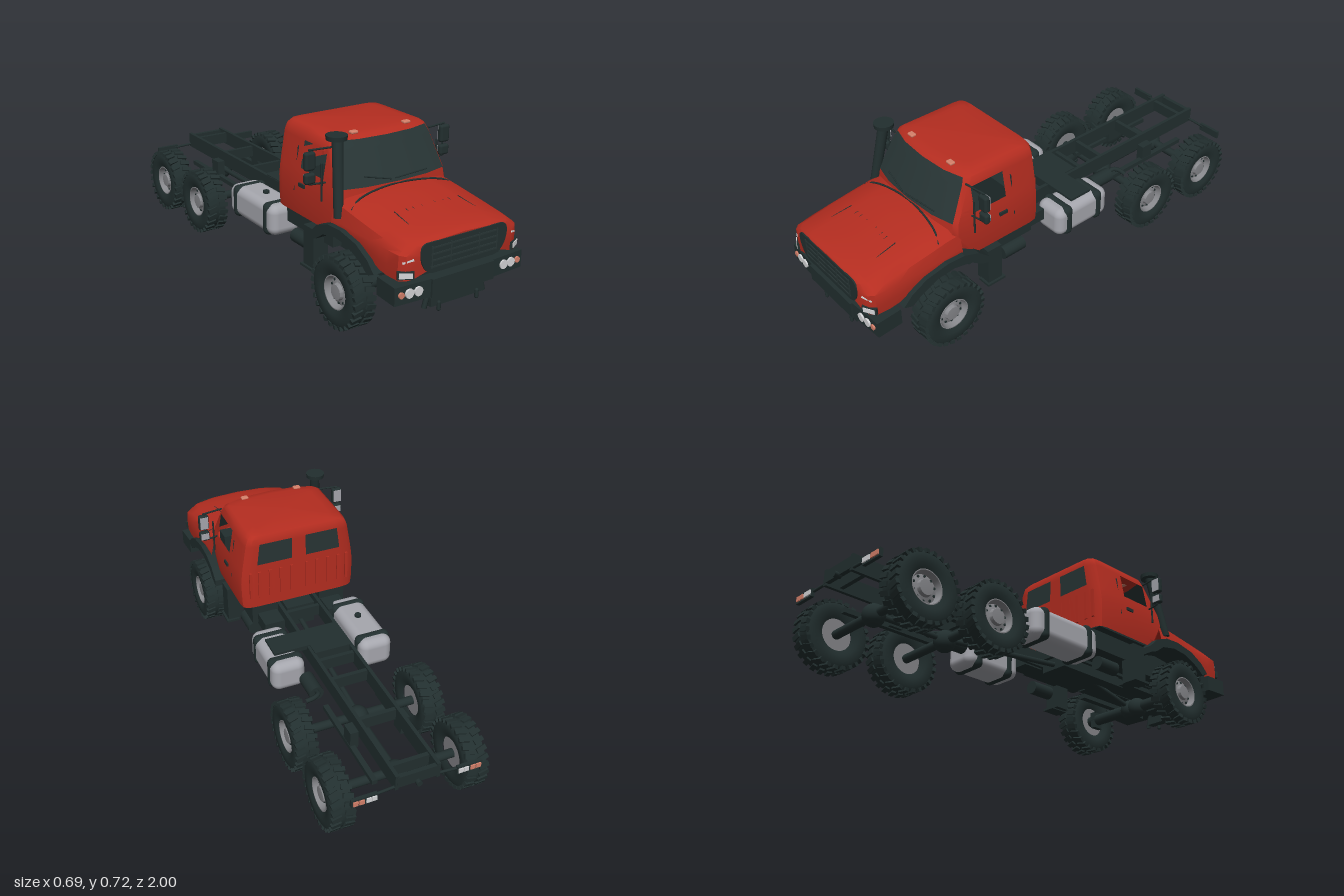
import * as THREE from 'three';
import { toCreasedNormals, mergeGeometries } from 'three/addons/utils/BufferGeometryUtils.js';
import { RoundedBoxGeometry } from 'three/addons/geometries/RoundedBoxGeometry.js';

const mat = (name, color, side = THREE.FrontSide) => {
  const m = new THREE.MeshStandardMaterial({ color, side });
  m.name = name;
  return m;
};

export function createModel() {
  const red = mat('red paint', 0xb52d20, THREE.DoubleSide);
  const dark = mat('dark frame', 0x222f2f);
  const glass = mat('dark glass', 0x283535, THREE.DoubleSide);
  const silver = mat('silver tank', 0xa6a7ae);
  const grey = mat('rim grey', 0x85868a);
  const white = mat('lamp white', 0xd6d6d8);
  const orange = mat('lamp orange', 0xd5806a);
  const truck = new THREE.Group();
  truck.name = 'truck';

  const add = (name, geo, m, x = 0, y = 0, z = 0, parent = truck) => {
    const mesh = new THREE.Mesh(geo, m);
    mesh.name = name;
    mesh.position.set(x, y, z);
    parent.add(mesh);
    return mesh;
  };
  const box = (name, m, w, h, d, x, y, z, parent) => add(name, new THREE.BoxGeometry(w, h, d), m, x, y, z, parent);
  const pair = (fn) => [1, -1].forEach(fn);
  const V = (p) => new THREE.Vector3(...p);
  const rod = (name, m, a, b, r, r2 = r, n = 8) => {
    const A = V(a), B = V(b), dir = B.clone().sub(A);
    const mesh = add(name, new THREE.CylinderGeometry(r2, r, dir.length(), n), m, ...A.clone().add(B).multiplyScalar(0.5));
    mesh.quaternion.setFromUnitVectors(new THREE.Vector3(0, 1, 0), dir.normalize());
    return mesh;
  };
  const tube = (name, m, pts, r, n = 24) =>
    add(name, new THREE.TubeGeometry(new THREE.CatmullRomCurve3(pts.map(V)), n, r, 8), m);

  // Skin over a list of rings; pick() chooses a material per panel, or null for an opening
  const loft = (name, rings, pick) => {
    const parts = new Map();
    for (let i = 0; i < rings.length - 1; i++) for (let j = 0; j < rings[i].length - 1; j++) {
      const m = pick(i, j);
      if (!m) continue;
      if (!parts.has(m)) parts.set(m, []);
      const a = rings[i][j], b = rings[i][j + 1], c = rings[i + 1][j + 1], d = rings[i + 1][j];
      parts.get(m).push(...a, ...d, ...c, ...a, ...c, ...b);
    }
    parts.forEach((pos, m) => {
      const g = new THREE.BufferGeometry();
      g.setAttribute('position', new THREE.Float32BufferAttribute(pos, 3));
      add(m === glass ? name + 'Windows' : name, toCreasedNormals(g, 0.6), m);
    });
  };
  const mirrorRing = (half) => [...half, ...half.slice(0, -1).reverse().map(([x, y, z]) => [-x, y, z])];

  // Cab: horizontal rings of [height, half width, back z, front z]
  const cabRows = [
    [0.335, 0.262, 0.157, 0.56], [0.37, 0.266, 0.157, 0.57], [0.46, 0.268, 0.157, 0.62], [0.512, 0.262, 0.157, 0.612],
    [0.53, 0.259, 0.157, 0.603], [0.55, 0.256, 0.157, 0.593], [0.64, 0.24, 0.157, 0.548], [0.65, 0.238, 0.157, 0.543],
    [0.675, 0.228, 0.16, 0.53], [0.688, 0.212, 0.168, 0.515], [0.695, 0.17, 0.2, 0.48], [0.697, 0, 0.33, 0.33]];
  loft('cab', cabRows.map(([y, w, zb, zf]) => mirrorRing(w === 0 ? Array(12).fill([0, y, zb]) : [
    [0, y, zb], [0.13 * w, y, zb], [0.75 * w, y, zb], [0.9 * w, y, zb + 0.004], [0.98 * w, y, zb + 0.018],
    [w, y, zb + 0.05], [w, y, 0.33], [w, y, Math.min(0.485, zf - 0.055)], [0.985 * w, y, zf - 0.05],
    [0.93 * w, y, zf - 0.032], [0.55 * w, y, zf - 0.008], [0, y, zf]])), (i, j) => {
    const k = j < 11 ? j : 21 - j;
    if (k === 6 && (i === 4 || i === 5)) return null;
    const rear = k === 1 && (i === 5 || i === 6), screen = k >= 9 && i >= 3 && i <= 7;
    return rear || screen ? glass : red;
  });
  box('cabFloor', dark, 0.5, 0.03, 0.36, 0, 0.35, 0.35);
  box('dashboard', dark, 0.46, 0.12, 0.07, 0, 0.455, 0.52);
  box('rearBench', dark, 0.44, 0.14, 0.1, 0, 0.43, 0.22);

  // Bonnet: cross-sections of [z, half width, top, bottom], nose first
  const hoodRows = [[0.99, 0.225, 0.44, 0.312], [0.98, 0.252, 0.448, 0.306], [0.96, 0.27, 0.454, 0.304], [0.9, 0.273, 0.464, 0.304],
    [0.86, 0.274, 0.469, 0.31], [0.8, 0.275, 0.477, 0.335], [0.7, 0.275, 0.49, 0.365], [0.62, 0.274, 0.501, 0.37], [0.56, 0.272, 0.502, 0.365]];
  const hood = hoodRows.map(([z, w, t, b]) => mirrorRing([[w, b, z], [w * 1.01, (b + 0.39) / 2, z],
    [w, Math.min(0.4, t - 0.05), z], [0.95 * w, t - 0.042, z], [0.83 * w, t - 0.02, z], [0.5 * w, t - 0.005, z], [0, t, z]]));
  hood.unshift(hood[0].map(() => [0, 0.37, 0.99]));
  loft('bonnet', hood, () => red);
  box('engineBay', dark, 0.36, 0.15, 0.42, 0, 0.315, 0.7);
  tube('cowlSeam', dark, [[-0.25, 0.458, 0.655], [-0.2, 0.486, 0.635], [0, 0.504, 0.61], [0.2, 0.486, 0.635], [0.25, 0.458, 0.655]], 0.004);
  pair((s) => {
    tube('bonnetSeam', dark, [[s * 0.25, 0.456, 0.66], [s * 0.245, 0.442, 0.8], [s * 0.235, 0.434, 0.9]], 0.003);
    rod('wiper', dark, [s * 0.01 - 0.025, 0.527, 0.612], [s * 0.09 + 0.06 * (s > 0) - 0.06 * (s < 0), s > 0 ? 0.528 : 0.552, 0.595], 0.003);
    // Bonnet vent outlines
    [[0.03, 0.07], [0.1, 0.15]].forEach(([a, b]) => [a, b].forEach((x) =>
      rod('ventLine', dark, [s * x, 0.478 - x * 0.03, 0.78], [s * (x + 0.008), 0.462 - x * 0.04, 0.88], 0.0018)));
  });

  // Grille and its bars
  const gs = new THREE.Shape();
  gs.moveTo(-0.14, 0.316);
  gs.lineTo(0.14, 0.316);
  gs.bezierCurveTo(0.18, 0.32, 0.2, 0.36, 0.2, 0.4);
  gs.quadraticCurveTo(0.198, 0.432, 0.17, 0.434);
  gs.lineTo(-0.17, 0.434);
  gs.quadraticCurveTo(-0.198, 0.432, -0.2, 0.4);
  gs.bezierCurveTo(-0.2, 0.36, -0.18, 0.32, -0.14, 0.316);
  add('grille', new THREE.ExtrudeGeometry(gs, { depth: 0.006, bevelEnabled: false }), dark, 0, 0, 0.988);
  for (let i = 0; i < 4; i++) box('grilleBar', glass, 0.31, 0.006, 0.005, 0, 0.34 + i * 0.024, 0.994);
  [-0.15, -0.065, 0.065, 0.15].forEach((x) => box('grilleUpright', glass, 0.005, 0.085, 0.005, x, 0.377, 0.994));

  // Wheel-arch flares
  const arch = new THREE.Shape();
  [[0.86, 0.295], [0.82, 0.335], [0.75, 0.372], [0.65, 0.39], [0.57, 0.386], [0.5, 0.36], [0.45, 0.315], [0.45, 0.285],
    [0.49, 0.3], [0.54, 0.335], [0.62, 0.352], [0.7, 0.345], [0.78, 0.31], [0.82, 0.28]].forEach(([z, y], i) => (i ? arch.lineTo(-z, y) : arch.moveTo(-z, y)));
  const archGeo = new THREE.ExtrudeGeometry(arch, { depth: 0.12, bevelEnabled: false }).rotateY(Math.PI / 2);
  pair((s) => add('wheelArch', archGeo, dark, s > 0 ? 0.178 : -0.298));

  // Bumper, tow frame and lamps
  box('bumperCentre', dark, 0.29, 0.072, 0.11, 0, 0.256, 0.943);
  box('towBar', dark, 0.25, 0.035, 0.04, 0, 0.185, 0.95);
  box('underBeam', dark, 0.42, 0.03, 0.1, 0, 0.29, 0.9);
  pair((s) => {
    const wing = box('bumperEnd', dark, 0.155, 0.07, 0.11, s * 0.218, 0.257, 0.93);
    wing.rotation.y = s * 0.06;
    [[0.2, 0.018, white], [0.238, 0.018, white], [0.272, 0.012, orange]].forEach(([x, r, m]) =>
      add('bumperLamp', new THREE.CylinderGeometry(r, r, 0.008, 20).rotateX(Math.PI / 2), m, s * x, 0.26, 0.989 - (x - 0.2) * 0.06));
    rod('towStrut', dark, [s * 0.14, 0.16, 0.95], [s * 0.12, 0.23, 0.95], 0.01);
    add('towHook', new THREE.CapsuleGeometry(0.008, 0.025, 4, 8), dark, s * 0.09, 0.166, 0.972);
    const lamp = new THREE.Group();
    lamp.name = 'headlight';
    lamp.position.set(s * 0.252, 0.329, 0.978);
    lamp.rotation.y = s * 0.5;
    truck.add(lamp);
    box('headlightFrame', dark, 0.06, 0.03, 0.012, 0, 0, 0, lamp);
    box('headlightLens', white, 0.048, 0.02, 0.004, 0, 0, 0.007, lamp);
    const slit = box('sideLamp', white, 0.042, 0.007, 0.012, s * 0.243, 0.379, 0.978);
    slit.rotation.set(0, s * 0.5, -s * 0.3);
    add('roofLamp', new RoundedBoxGeometry(0.032, 0.012, 0.024, 2, 0.005), orange, s * 0.125, 0.694, 0.488);
  });

  // Doors, mirrors, rear panel ribs
  pair((s) => {
    rod('doorSeam', dark, [s * 0.267, 0.43, 0.295], [s * 0.246, 0.61, 0.295], 0.003);
    box('doorHandle', dark, 0.012, 0.014, 0.04, s * 0.268, 0.466, 0.352);
    rod('mirrorArm', dark, [s * 0.23, 0.656, 0.5], [s * 0.325, 0.656, 0.485], 0.004);
    rod('mirrorArm', dark, [s * 0.255, 0.522, 0.5], [s * 0.325, 0.522, 0.485], 0.004);
    rod('mirrorPost', dark, [s * 0.318, 0.522, 0.485], [s * 0.318, 0.656, 0.485], 0.004);
    rod('grabRail', dark, [s * 0.276, 0.45, 0.5], [s * 0.276, 0.6, 0.5], 0.004);
    [[0.614, 0.072], [0.546, 0.043]].forEach(([y, h]) => {
      add('mirror', new RoundedBoxGeometry(0.046, h, 0.026, 3, 0.01), dark, s * 0.323, y, 0.487);
      box('mirrorGlass', silver, 0.036, h - 0.014, 0.004, s * 0.323, y, 0.474);
    });
    [0.035, 0.085, 0.135, 0.185, 0.225].forEach((x) => box('rearRib', red, 0.012, 0.13, 0.012, s * x, 0.45, 0.157));
  });

  // Raised air intake
  rod('intakePipe', dark, [-0.268, 0.415, 0.6], [-0.238, 0.705, 0.545], 0.019, 0.022, 16);
  add('intakeCap', new THREE.CylinderGeometry(0.042, 0.04, 0.018, 20), dark, -0.24, 0.708, 0.542);

  // Chassis rails and crossmembers
  pair((s) => {
    box('frameRail', dark, 0.015, 0.068, 1.85, s * 0.085, 0.271, -0.055);
    box('bogieSpring', dark, 0.022, 0.02, 0.46, s * 0.118, 0.185, -0.64);
    box('bogieBracket', dark, 0.035, 0.08, 0.06, s * 0.11, 0.22, -0.64);
    box('frontSpring', dark, 0.03, 0.02, 0.42, s * 0.12, 0.19, 0.66);
    box('rearLampBar', dark, 0.105, 0.034, 0.014, s * 0.216, 0.24, -0.978);
    [[0.252, orange], [0.228, orange], [0.2, white], [0.178, white]].forEach(([x, m]) =>
      box('rearLamp', m, 0.02, 0.02, 0.006, s * x, 0.24, -0.987));
    rod('rearLampArm', dark, [s * 0.08, 0.25, -0.972], [s * 0.18, 0.245, -0.975], 0.006);
  });
  [-0.972, -0.91, -0.64, -0.38, -0.25, 0.12].forEach((z) => box('crossmember', dark, 0.17, 0.05, 0.018, 0, 0.272, z));
  add('towCoupling', new THREE.CylinderGeometry(0.012, 0.012, 0.03, 12).rotateX(Math.PI / 2), dark, 0, 0.25, -0.982);
  box('servicePlatform', dark, 0.17, 0.045, 0.17, -0.005, 0.287, -0.13);
  box('batteryCover', dark, 0.16, 0.02, 0.11, 0.16, 0.3, -0.1);
  box('gearbox', dark, 0.13, 0.1, 0.38, 0, 0.25, 0.33);
  rod('driveShaft', dark, [0, 0.23, 0.2], [0, 0.155, -0.45], 0.012);
  rod('driveShaft', dark, [0, 0.15, -0.47], [0, 0.15, -0.81], 0.012);
  rod('driveShaft', dark, [0, 0.15, 0.65], [0, 0.22, 0.35], 0.012);

  // Under-cab boxes, steps and air tanks
  pair((s) => {
    box('cabSill', dark, 0.12, 0.085, 0.33, s * 0.16, 0.288, 0.33);
    box('stepSide', dark, 0.07, 0.17, 0.07, s * 0.235, 0.225, 0.4);
    box('stepTread', dark, 0.06, 0.01, 0.09, s * 0.25, 0.14, 0.4);
    rod('airTank', dark, [s * 0.2, 0.19, 0.31], [s * 0.2, 0.19, 0.2], 0.03, 0.03, 16);
    box('rearSill', dark, 0.09, 0.055, 0.1, s * 0.15, 0.265, 0.12);
  });

  // Fuel tanks with straps
  [[0.201, -0.235, 0.055], [-0.201, -0.235, 0.135]].forEach(([x, a, b]) => {
    add('fuelTank', new RoundedBoxGeometry(0.148, 0.135, b - a, 4, 0.036), silver, x, 0.232, (a + b) / 2);
    [a + 0.06, b - 0.06].forEach((z) => add('tankStrap', new RoundedBoxGeometry(0.156, 0.143, 0.05, 4, 0.024), dark, x, 0.232, z));
  });
  add('fuelCap', new THREE.CylinderGeometry(0.014, 0.014, 0.014, 16), dark, -0.2, 0.304, -0.035);

  // Silencer and tailpipe
  rod('silencer', dark, [0.14, 0.23, -0.26], [0.14, 0.23, -0.37], 0.032, 0.032, 16);
  tube('tailpipe', dark, [[0.14, 0.24, -0.36], [0.145, 0.25, -0.395], [0.17, 0.25, -0.41], [0.205, 0.245, -0.412]], 0.01);

  // Wheels: tyre with lugs, dished rim
  const lathe = (pts, n) => toCreasedNormals(new THREE.LatheGeometry(pts.map(([r, h]) => new THREE.Vector2(r, h)), n).rotateZ(-Math.PI / 2), 0.6);
  const tyre = lathe([[0.066, -0.036], [0.09, -0.047], [0.122, -0.047], [0.138, -0.039], [0.138, 0.039], [0.122, 0.047], [0.09, 0.047], [0.066, 0.036]], 40);
  const rim = lathe([[0, -0.03], [0.068, -0.03], [0.068, 0.039], [0.064, 0.039], [0.056, 0.014], [0.034, 0.02], [0.03, 0.034], [0, 0.036]], 32);
  const lugs = [], bolts = [];
  for (let i = 0; i < 26; i++) pair((s) => lugs.push(new THREE.BoxGeometry(0.042, 0.016, 0.019).rotateY(s * 0.25)
    .translate(s * 0.027, 0.137, 0).rotateX(((i + (s > 0 ? 0.5 : 0)) / 26) * Math.PI * 2)));
  for (let i = 0; i < 10; i++) bolts.push(new THREE.CylinderGeometry(0.005, 0.005, 0.008, 8).rotateZ(-Math.PI / 2)
    .translate(0.016, 0.048, 0).rotateX((i / 10) * Math.PI * 2));
  const lugGeo = mergeGeometries(lugs), boltGeo = mergeGeometries(bolts);
  const ball = new THREE.SphereGeometry(0.046, 20, 14);
  [0.65, -0.47, -0.81].forEach((z, axle) => {
    pair((s) => {
      const wheel = new THREE.Group();
      wheel.name = 'wheel';
      wheel.position.set(s * 0.28, 0.145, z);
      wheel.rotation.y = s > 0 ? 0 : Math.PI;
      truck.add(wheel);
      add('tyre', tyre, dark, 0, 0, 0, wheel);
      add('tread', lugGeo, dark, 0, 0, 0, wheel);
      add('rim', rim, grey, 0, 0, 0, wheel);
      add('rimHoles', boltGeo, dark, 0, 0, 0, wheel);
      if (!axle) box('steeringKnuckle', dark, 0.024, 0.075, 0.05, s * 0.217, 0.143, z);
    });
    rod('axle', dark, [-0.25, 0.145, z], [0.25, 0.145, z], axle ? 0.019 : 0.026, axle ? 0.019 : 0.026, 14);
    add('differential', ball, dark, axle ? 0 : -0.04, 0.143, z);
    if (!axle) add('differentialCover', ball, dark, 0, 0.143, z);
  });
  return truck;
}
